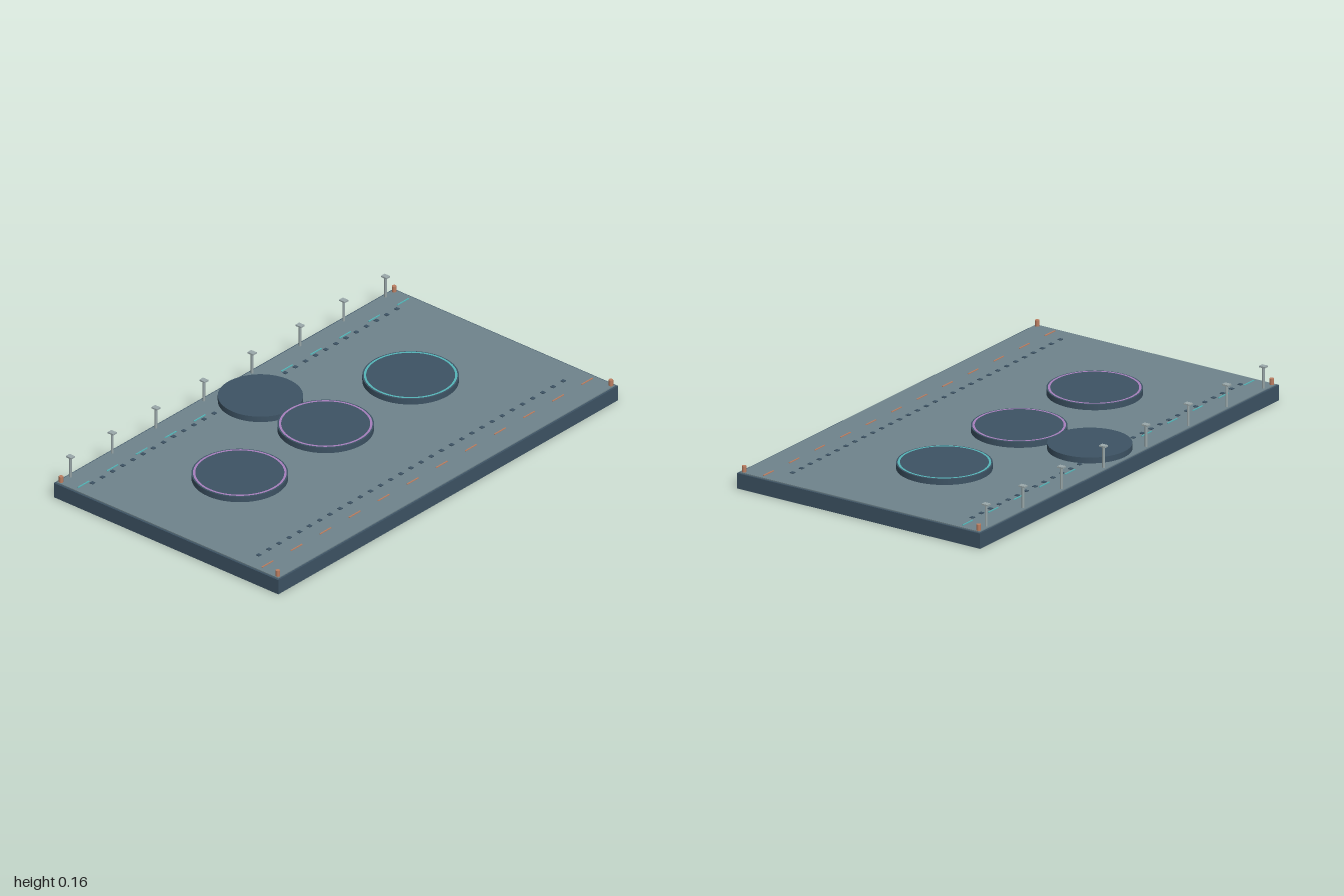
import * as THREE from 'three';

const mat = (name, color) => {
  const m = new THREE.MeshStandardMaterial({ color });
  m.name = name;
  return m;
};

export function createModel() {
  const slate = mat('slate blue', 0x3d5364);
  const deckGrey = mat('deck grey', 0x6f848c);
  const steel = mat('light steel', 0x9aa8aa);
  const copper = mat('copper', 0xbd7f62);
  const violet = mat('violet', 0xa77fbd);
  const teal = mat('teal', 0x55b5b8);

  const root = new THREE.Group();
  root.name = 'platform';
  const add = (name, geometry, material, x, y, z, parent = root) => {
    const mesh = new THREE.Mesh(geometry, material);
    mesh.name = name;
    mesh.position.set(x, y, z);
    parent.add(mesh);
    return mesh;
  };
  const group = (name) => {
    const g = new THREE.Group();
    g.name = name;
    root.add(g);
    return g;
  };

  // Slab and inset deck surface
  const top = 0.067;
  add('base', new THREE.BoxGeometry(2, 0.063, 1.15), slate, 0, 0.0315, 0);
  add('deck', new THREE.BoxGeometry(1.984, 0.005, 1.134), deckGrey, 0, 0.0645, 0);

  // Round pads, three with a thin coloured ring on top
  const padHeight = 0.024;
  const pad = (name, x, z, r, ringMaterial) => {
    const g = group(name);
    add('padDisc', new THREE.CylinderGeometry(r, r, padHeight, 64), slate, x, top + padHeight / 2, z, g);
    if (!ringMaterial) return;
    const ring = new THREE.RingGeometry(0.172, 0.181, 64).rotateX(-Math.PI / 2);
    add('padRing', ring, ringMaterial, x, top + padHeight + 0.001, z, g);
  };
  pad('rightPad', -0.505, -0.053, 0.187, violet);
  pad('centrePad', 0, -0.053, 0.187, violet);
  pad('leftPad', 0.5, -0.053, 0.187, teal);
  pad('backPad', 0, -0.387, 0.165);

  // Lamp posts along the back edge
  const lamps = group('lampPosts');
  const poleGeo = new THREE.CylinderGeometry(0.0055, 0.0055, 0.088, 10);
  const capGeo = new THREE.BoxGeometry(0.022, 0.006, 0.028);
  for (const side of [-1, 1]) {
    for (const x of [0.142, 0.424, 0.681, 0.927]) {
      add('lampPole', poleGeo, steel, side * x, top + 0.044, -0.553, lamps);
      add('lampCap', capGeo, steel, side * x, 0.157, -0.553, lamps);
    }
  }

  // Corner studs
  const studs = group('cornerStuds');
  const studGeo = new THREE.CylinderGeometry(0.009, 0.009, 0.028, 10);
  for (const x of [-0.98, 0.98]) {
    for (const z of [-0.555, 0.555]) add('cornerStud', studGeo, copper, x, 0.078, z, studs);
  }

  // Dashed lines: copper in front, teal behind
  const dashes = group('dashes');
  const dashGeo = new THREE.BoxGeometry(0.066, 0.003, 0.005);
  for (let i = 0; i < 12; i++) {
    const x = -0.94 + i * 0.171;
    add('frontDash', dashGeo, copper, x, top + 0.0015, 0.467, dashes);
    add('backDash', dashGeo, teal, x, top + 0.0015, -0.475, dashes);
  }

  // Rows of small square tiles
  const tiles = group('tiles');
  const tileGeo = new THREE.BoxGeometry(0.016, 0.003, 0.016);
  for (let i = 0; i < 31; i++) {
    for (const z of [0.395, -0.457]) add('tile', tileGeo, slate, -0.908 + i * 0.0597, top + 0.0015, z, tiles);
  }

  return root;
}
